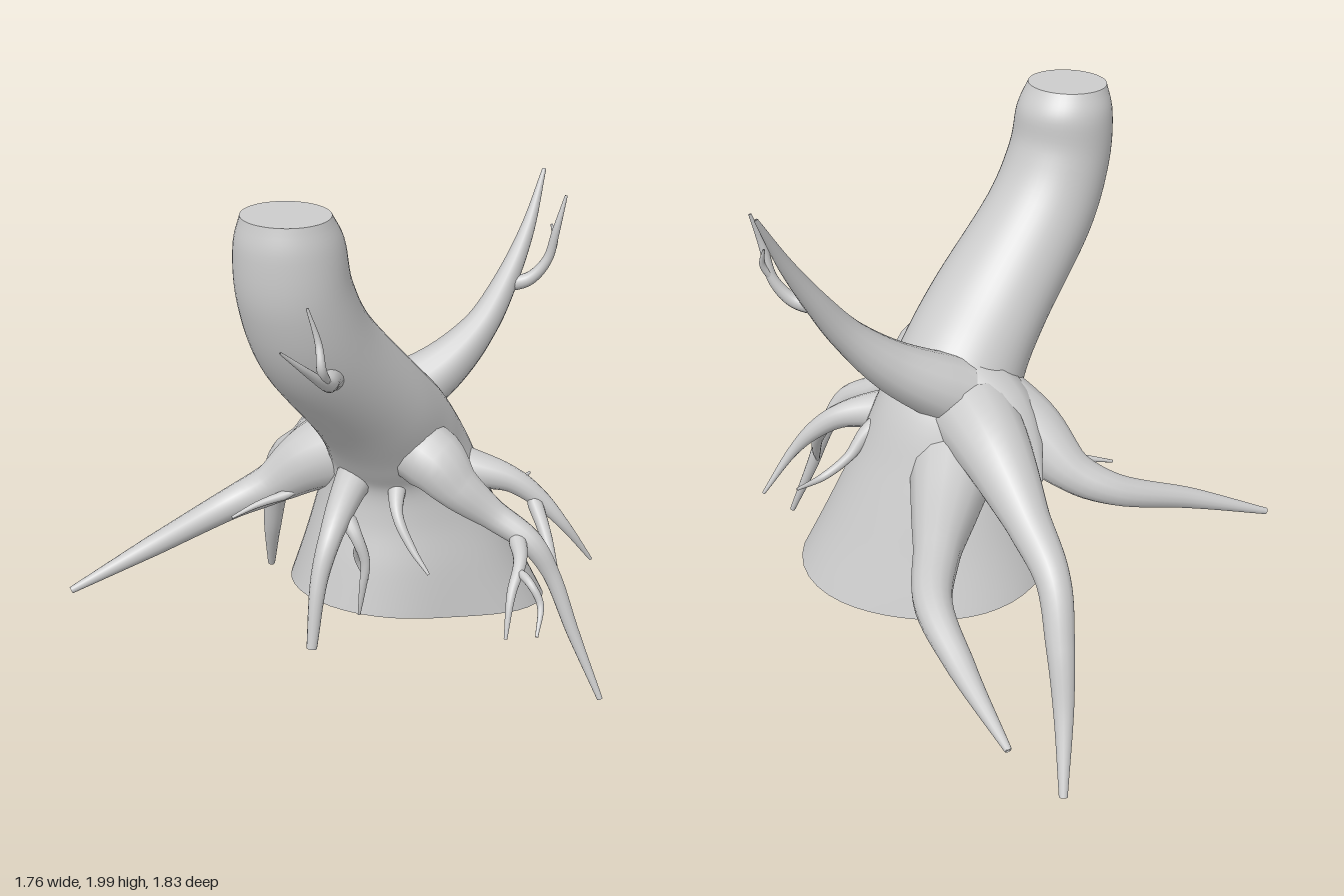
import * as THREE from 'three';

const bark = new THREE.MeshStandardMaterial({ color: 0xcccccc });
const vec = (p) => new THREE.Vector3(p[0], p[1], p[2]);

// Trunk cross-sections: x, y, z, half width, half depth, forward lean
const SECTIONS = [
  [0.075, 0.40, -0.08, 0.435, 0.39, -0.18],
  [0.07, 0.60, -0.06, 0.365, 0.33, -0.10],
  [0.06, 0.80, -0.04, 0.30, 0.27, 0.05],
  [0.06, 0.98, 0.00, 0.25, 0.235, 0.30],
  [0.07, 1.12, 0.10, 0.23, 0.21, 0.60],
  [0.065, 1.28, 0.25, 0.22, 0.185, 0.77],
  [0.025, 1.54, 0.485, 0.197, 0.18, 0.62],
  [0.007, 1.74, 0.58, 0.183, 0.17, 0.32],
  [0.0, 1.90, 0.597, 0.17, 0.163, 0.10],
  [0.0, 1.993, 0.61, 0.14, 0.13, 0.0],
];
const SIDES = 48;
const centres = new THREE.CatmullRomCurve3(SECTIONS.map(vec), false, 'catmullrom');
const shapes = new THREE.CatmullRomCurve3(SECTIONS.map((s) => vec(s.slice(3))), false, 'catmullrom');

// One ring of the trunk; the foot swells towards its left back
function ring(t) {
  const c = centres.getPoint(t), s = shapes.getPoint(t);
  const swell = 0.2 * Math.max(0, 1 - 2.6 * t);
  return Array.from({ length: SIDES }, (_, j) => {
    const a = (j / SIDES) * Math.PI * 2;
    const r = 1 - swell * Math.sin(2 * a) * (0.55 + 0.45 * Math.cos(a));
    const x = Math.cos(a) * s.x * r, z = Math.sin(a) * s.y * r;
    return new THREE.Vector3(c.x + x, c.y - z * Math.sin(s.z), c.z + z * Math.cos(s.z));
  });
}

function trunkWall() {
  const rows = 54, points = [], index = [];
  for (let i = 0; i <= rows; i++) points.push(...ring(i / rows));
  for (let i = 0; i < rows; i++) {
    for (let j = 0; j < SIDES; j++) {
      const a = i * SIDES + j, b = i * SIDES + ((j + 1) % SIDES);
      index.push(a, a + SIDES, b, b, a + SIDES, b + SIDES);
    }
  }
  const g = new THREE.BufferGeometry().setFromPoints(points);
  g.setIndex(index);
  g.computeVertexNormals();
  return g;
}

// Flat cut face at one end of the trunk
function cutFace(t, up) {
  const rim = ring(t), index = [];
  for (let j = 0; j < SIDES; j++) {
    const k = (j + 1) % SIDES;
    index.push(SIDES, up ? k : j, up ? j : k);
  }
  const g = new THREE.BufferGeometry().setFromPoints([...rim, centres.getPoint(t)]);
  g.setIndex(index);
  g.computeVertexNormals();
  return g;
}

// Tapered limb through points [x, y, z, radius], domed at the start and blunt at the tip
function limb(points) {
  const curve = new THREE.CatmullRomCurve3(points.map(vec));
  const last = points.length - 1, rows = last * 8, sides = 14;
  const g = new THREE.TubeGeometry(curve, rows, 1, sides, false);
  const pos = g.attributes.position, v = new THREE.Vector3();
  for (let i = 0; i <= rows; i++) {
    const u = Math.min(1, i / (rows - 1));
    const from = curve.getPointAt(i / rows), to = curve.getPointAt(u);
    const f = curve.getUtoTmapping(u) * last;
    const k = Math.min(Math.floor(f), last - 1);
    const taper = THREE.MathUtils.lerp(points[k][3], points[k + 1][3], f - k);
    const radius = i === rows ? 0 : taper * Math.sqrt(Math.min(1, i / 3));
    for (let j = 0; j <= sides; j++) {
      const n = i * (sides + 1) + j;
      v.fromBufferAttribute(pos, n).sub(from).multiplyScalar(radius).add(to);
      pos.setXYZ(n, v.x, v.y, v.z);
    }
  }
  return g;
}

const LIMBS = {
  // Large roots on the right side and back, joined by a shoulder
  rightFrontRoot: [[-0.03, 1.01, 0.02, 0.17], [-0.22, 0.92, 0.08, 0.125], [-0.38, 0.79, 0.12, 0.075],
    [-0.5, 0.72, 0.2, 0.058], [-0.68, 0.62, 0.45, 0.038], [-0.87, 0.51, 0.69, 0.012]],
  rightFrontRootlet: [[-0.26, 0.8, 0.15, 0.02], [-0.36, 0.77, 0.25, 0.012], [-0.42, 0.74, 0.33, 0.005]],
  rightMiddleRoot: [[-0.02, 1.03, -0.03, 0.17], [-0.23, 0.95, -0.14, 0.13], [-0.43, 0.79, -0.23, 0.08],
    [-0.59, 0.66, -0.31, 0.06], [-0.67, 0.48, -0.38, 0.05], [-0.73, 0.27, -0.44, 0.036], [-0.81, 0.01, -0.55, 0.015]],
  rightRootShoulder: [[0.02, 1.03, 0, 0.2], [-0.14, 0.96, -0.02, 0.17], [-0.26, 0.87, -0.05, 0.11], [-0.34, 0.8, -0.06, 0.04]],
  rightBackRoot: [[-0.03, 0.87, -0.08, 0.17], [-0.14, 0.77, -0.3, 0.12], [-0.24, 0.72, -0.48, 0.08],
    [-0.36, 0.67, -0.66, 0.064], [-0.55, 0.58, -0.77, 0.046], [-0.83, 0.48, -0.91, 0.012]],
  // Left front root with its swollen base and forks
  leftFrontRoot: [[0.14, 1.08, 0.14, 0.1], [0.28, 1.06, 0.17, 0.115], [0.36, 0.97, 0.15, 0.08],
    [0.47, 0.86, 0.09, 0.052], [0.6, 0.78, 0.07, 0.043], [0.67, 0.66, 0.04, 0.03],
    [0.76, 0.44, 0.03, 0.022], [0.87, 0.2, 0.025, 0.01]],
  leftFrontFork: [[0.55, 0.81, 0.08, 0.035], [0.61, 0.76, 0.17, 0.023], [0.62, 0.68, 0.26, 0.016], [0.63, 0.54, 0.32, 0.006]],
  leftFrontRootlet: [[0.615, 0.74, 0.2, 0.016], [0.68, 0.72, 0.24, 0.014], [0.72, 0.66, 0.25, 0.012], [0.74, 0.58, 0.32, 0.005]],
  // Left back root with its forks
  leftBackRoot: [[0.12, 0.94, -0.04, 0.1], [0.3, 0.91, -0.1, 0.07], [0.43, 0.87, -0.16, 0.045], [0.52, 0.8, -0.2, 0.034],
    [0.6, 0.7, -0.24, 0.02], [0.68, 0.53, -0.33, 0.006]],
  leftBackFork: [[0.49, 0.83, -0.19, 0.03], [0.58, 0.7, -0.13, 0.021], [0.64, 0.6, -0.07, 0.016], [0.7, 0.51, 0, 0.008]],
  leftBackRootlet: [[0.16, 0.97, -0.1, 0.05], [0.26, 0.89, -0.21, 0.03], [0.3, 0.8, -0.28, 0.018],
    [0.35, 0.74, -0.36, 0.014], [0.37, 0.74, -0.48, 0.005]],
  // Hanging roots at the front
  frontRoot: [[0.0, 0.98, 0.1, 0.085], [0.01, 0.92, 0.26, 0.058], [0.02, 0.82, 0.4, 0.04],
    [0.01, 0.68, 0.47, 0.03], [0.01, 0.44, 0.53, 0.018]],
  frontRootFork: [[0.02, 0.87, 0.32, 0.035], [0.08, 0.8, 0.34, 0.022], [0.11, 0.7, 0.33, 0.017], [0.1, 0.6, 0.33, 0.013], [0.08, 0.48, 0.32, 0.005]],
  frontRootlet: [[0.08, 0.76, 0.335, 0.014], [0.065, 0.68, 0.3, 0.01], [0.09, 0.6, 0.28, 0.005]],
  frontSideRootlet: [[0.14, 0.97, 0.14, 0.04], [0.19, 0.87, 0.25, 0.02], [0.26, 0.77, 0.28, 0.014], [0.33, 0.69, 0.29, 0.005]],
  // Branch rising at the back, with its fork
  backBranch: [[-0.08, 1.05, -0.02, 0.11], [0.0, 1.11, -0.12, 0.12], [0.12, 1.21, -0.25, 0.09],
    [0.21, 1.34, -0.36, 0.06], [0.26, 1.49, -0.46, 0.042], [0.29, 1.65, -0.56, 0.026], [0.3, 1.84, -0.67, 0.007]],
  backBranchFork: [[0.25, 1.47, -0.45, 0.03], [0.33, 1.49, -0.49, 0.024], [0.385, 1.56, -0.52, 0.018],
    [0.41, 1.67, -0.53, 0.014], [0.43, 1.79, -0.56, 0.005]],
  backBranchTwig: [[0.385, 1.56, -0.52, 0.014], [0.4, 1.62, -0.55, 0.01], [0.38, 1.68, -0.56, 0.004]],
  // Twig high on the front of the trunk
  frontTwig: [[0.09, 1.46, 0.5, 0.06], [0.155, 1.5, 0.63, 0.034], [0.2, 1.53, 0.73, 0.02],
    [0.19, 1.6, 0.82, 0.013], [0.15, 1.69, 0.91, 0.004]],
  frontTwigFork: [[0.2, 1.53, 0.73, 0.018], [0.21, 1.6, 0.78, 0.015], [0.19, 1.67, 0.76, 0.011], [0.16, 1.78, 0.77, 0.004]],
};

export function createModel() {
  const model = new THREE.Group();
  model.name = 'treeStump';
  const add = (name, geometry) => {
    const mesh = new THREE.Mesh(geometry, bark);
    mesh.name = name;
    model.add(mesh);
  };
  add('trunk', trunkWall());
  add('trunkTop', cutFace(1, true));
  add('trunkUnderside', cutFace(0, false));
  for (const [name, points] of Object.entries(LIMBS)) add(name, limb(points));
  return model;
}
